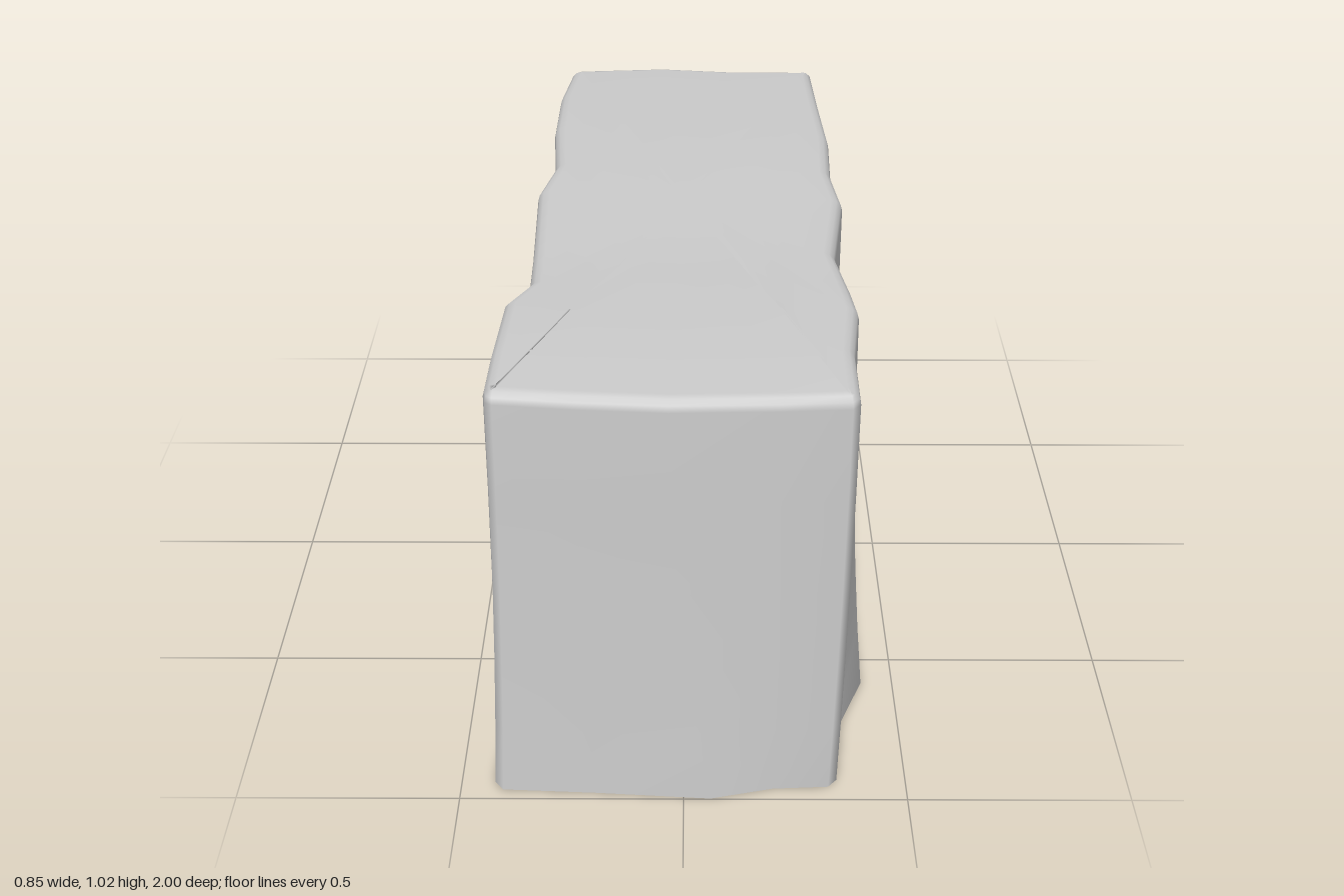
import * as THREE from 'three';

// Outline stations, counter-clockwise from above: base x, base z, rim x, rim z
const outline = [
  [-0.405, 0.97, -0.385, 0.95], [-0.2, 0.98, -0.22, 0.965], [0.06, 0.998, -0.03, 0.975], [0.2, 0.965, 0.2, 0.965],
  [0.325, 0.958, 0.34, 0.955], [0.345, 0.935, 0.357, 0.935], [0.35, 0.78, 0.358, 0.76], [0.425, 0.59, 0.378, 0.58],
  [0.375, 0.49, 0.37, 0.48], [0.345, 0.3, 0.345, 0.29], [0.385, 0.0, 0.38, 0.0], [0.362, -0.17, 0.362, -0.17],
  [0.385, -0.45, 0.37, -0.4], [0.4, -0.7, 0.36, -0.65], [0.378, -0.935, 0.352, -0.915], [0.355, -0.965, 0.335, -0.932],
  [0.12, -0.968, 0.12, -0.93], [-0.08, -0.97, -0.07, -0.95], [-0.325, -1.0, -0.3, -0.925], [-0.357, -0.97, -0.325, -0.9],
  [-0.345, -0.7, -0.345, -0.7], [-0.345, -0.45, -0.345, -0.45], [-0.328, -0.2, -0.328, -0.2], [-0.362, -0.04, -0.36, -0.04],
  [-0.345, 0.32, -0.348, 0.3], [-0.375, 0.47, -0.345, 0.45], [-0.402, 0.55, -0.392, 0.56], [-0.402, 0.72, -0.402, 0.78],
  [-0.425, 0.88, -0.405, 0.915], [-0.425, 0.945, -0.4, 0.94],
];

// Height of the gently uneven top, interpolated along z
const heights = [[-1, 0.985], [-0.9, 0.988], [-0.3, 1.01], [0.4, 1.01], [0.6, 1.023], [1, 1.016]];
function topHeight(x, z) {
  let k = 0;
  while (k < heights.length - 2 && z > heights[k + 1][0]) k++;
  const [z0, y0] = heights[k], [z1, y1] = heights[k + 1];
  return y0 + (y1 - y0) * (z - z0) / (z1 - z0) - 0.008 * x;
}

// Horizontal outward direction of the rim at a station
function outward(i) {
  const n = outline.length;
  const a = outline[(i + n - 1) % n], b = outline[(i + 1) % n];
  return new THREE.Vector2(-(b[3] - a[3]), b[2] - a[2]).normalize();
}

function blockGeometry() {
  const n = outline.length, bevel = 0.028, rings = [];

  // Walls: the base flare fades out quickly on the way up
  for (const t of [0, 0.17, 0.35, 0.55, 0.78, 1]) {
    const f = 1 - (1 - t) ** 2;
    rings.push(outline.map(([xb, zb, xt, zt]) => [
      xb + (xt - xb) * f, t * (topHeight(xt, zt) - bevel), zb + (zt - zb) * f,
    ]));
  }
  // Rounded rim
  for (const a of [Math.PI / 6, Math.PI / 3, Math.PI / 2]) {
    rings.push(outline.map(([, , x, z], i) => {
      const d = outward(i), inset = bevel * (1 - Math.cos(a));
      return [x - d.x * inset, topHeight(x, z) - bevel * (1 - Math.sin(a)), z - d.y * inset];
    }));
  }
  // Top: rings shrinking to the middle
  const rim = rings[rings.length - 1];
  for (const s of [0.85, 0.65, 0.4, 0.2]) {
    rings.push(rim.map(([x, , z]) => [x * s, topHeight(x * s, z * s), z * s]));
  }

  const positions = rings.flat(2), index = [];
  for (let j = 0; j < rings.length - 1; j++) {
    for (let i = 0; i < n; i++) {
      const a = j * n + i, b = j * n + (i + 1) % n;
      index.push(a, b, b + n, a, b + n, a + n);
    }
  }
  const centre = rings.length * n, last = centre - n;
  positions.push(0, topHeight(0, 0), 0);
  for (let i = 0; i < n; i++) index.push(last + i, last + (i + 1) % n, centre);

  const geometry = new THREE.BufferGeometry();
  geometry.setAttribute('position', new THREE.Float32BufferAttribute(positions, 3));
  geometry.setIndex(index);
  geometry.computeVertexNormals();
  return geometry;
}

export function createModel() {
  const group = new THREE.Group();
  group.name = 'stoneBlock';
  // Open-bottomed shell, visible from inside as well
  const material = new THREE.MeshStandardMaterial({ color: 0xcccccc, side: THREE.DoubleSide });
  const shell = new THREE.Mesh(blockGeometry(), material);
  shell.name = 'stoneShell';
  group.add(shell);
  return group;
}
